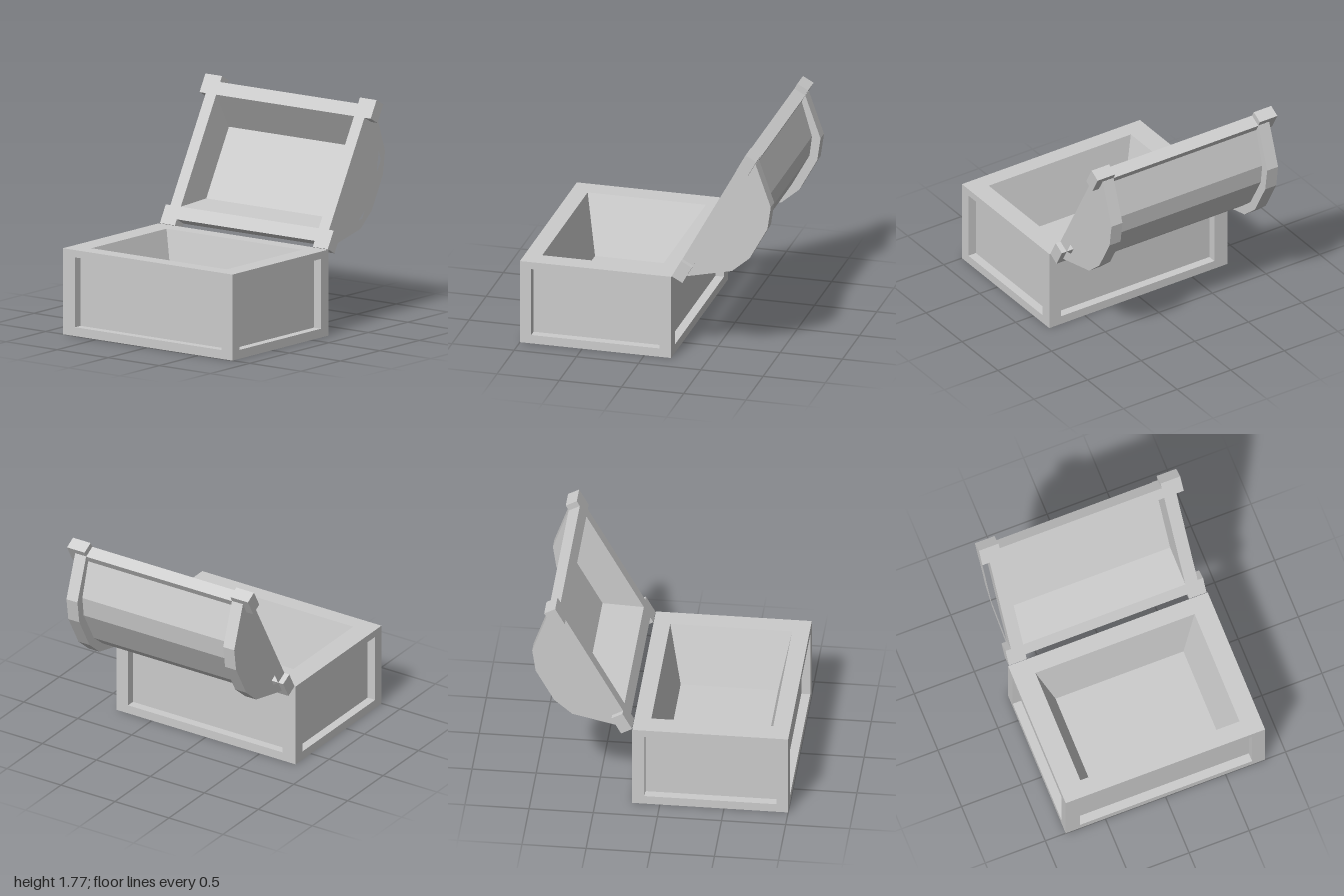
import * as THREE from 'three';

const material = new THREE.MeshStandardMaterial({ color: 0xcccccc, flatShading: true });
const vec = (pts) => pts.map(([x, y]) => new THREE.Vector2(x, y));
const rect = (x0, x1, y0, y1) => [[x0, y0], [x1, y0], [x1, y1], [x0, y1]];

function add(parent, name, geometry) {
  const mesh = new THREE.Mesh(geometry, material);
  mesh.name = name;
  parent.add(mesh);
  return mesh;
}

// Prism from an outline, running from z = from to z = to, with an optional hole
function prism(outline, from, to, hole) {
  const shape = new THREE.Shape(vec(outline));
  if (hole) shape.holes.push(new THREE.Path(vec(hole)));
  return new THREE.ExtrudeGeometry(shape, { depth: to - from, bevelEnabled: false }).translate(0, 0, from);
}

// Closed skin through rectangular rings [x0, x1, z0, z1, y]
function loft(rings) {
  const pos = rings.flatMap(([x0, x1, z0, z1, y]) => [x0, y, z1, x1, y, z1, x1, y, z0, x0, y, z0]);
  const index = [0, 2, 1, 0, 3, 2];
  for (let r = 0; r < rings.length - 1; r++) {
    for (let i = 0; i < 4; i++) {
      const a = r * 4 + i, b = r * 4 + (i + 1) % 4;
      index.push(a, b, b + 4, a, b + 4, a + 4);
    }
  }
  const e = (rings.length - 1) * 4;
  index.push(e, e + 1, e + 2, e, e + 2, e + 3);
  const indexed = new THREE.BufferGeometry();
  indexed.setAttribute('position', new THREE.Float32BufferAttribute(pos, 3));
  indexed.setIndex(index);
  const geometry = indexed.toNonIndexed();
  geometry.computeVertexNormals();
  return geometry;
}

function createBase() {
  const base = new THREE.Group();
  base.name = 'base';
  const W = 0.83, H = 0.68, back = -0.215, front = 1, d = 0.07;

  // Core with sunken panels outside and a tapered cavity inside
  const core = [-W + d, W - d, back + d, front - d];
  add(base, 'baseCore', loft([
    [...core, 0],
    [...core, H],
    [-0.655, 0.67, -0.085, 0.865, H],
    [-0.525, 0.54, 0.01, 0.77, 0.21],
  ]));

  // Raised frames round the four panels
  const longFrame = [rect(-W, W, 0, H), rect(-0.71, 0.722, 0.07, 0.622)];
  add(base, 'frontFrame', prism(longFrame[0], front - d, front, longFrame[1]));
  add(base, 'backFrame', prism(longFrame[0], back, back + d, longFrame[1]));
  const sideFrame = prism(rect(back + d, front - d, 0, H), 0, d, rect(-0.12, 0.91, 0.07, 0.622));
  sideFrame.rotateY(-Math.PI / 2);
  add(base, 'leftFrame', sideFrame).position.x = W;
  add(base, 'rightFrame', sideFrame).position.x = -W + d;
  return base;
}

// Lid in its own frame: x runs from hinge to free edge, y out of the rim, z across
function createLid() {
  const lid = new THREE.Group();
  lid.name = 'lid';
  const L = 1.238, inner = 0.675, outer = 0.777;
  const mirror = (half) => [...half, ...half.map(([u, v]) => [L - u, v]).reverse()];

  // Barrel shell with rim bars and a trapezoid cavity
  const shell = mirror([[0.05, 0], [0.05, 0.1], [0.11, 0.1], [0.32, 0.31], [0.47, 0.37]]);
  const cavity = mirror([[0.155, 0], [0.322, 0.276]]).reverse();
  add(lid, 'barrel', prism([...shell, ...cavity], -inner, inner));

  // End straps with sunken end panels, and corner blocks
  const strap = mirror([[0.05, 0], [0.05, 0.1], [0.295, 0.375], [0.47, 0.441]]);
  const panel = mirror([[0.155, 0.1], [0.375, 0.357]]);
  for (const [side, s] of [['left', -1], ['right', 1]]) {
    const span = (a, b) => (s > 0 ? [a, b] : [-b, -a]);
    add(lid, side + 'EndPanel', prism(strap, ...span(inner, 0.715)));
    add(lid, side + 'Strap', prism(strap, ...span(0.715, outer), panel));
    for (const [end, u, reach] of [['hinge', 0, 0.822], ['free', L - 0.155, 0.838]]) {
      add(lid, `${side} ${end} block`, prism(rect(u, u + 0.155, 0, 0.098), ...span(inner, reach)));
    }
  }

  // Swing open about the hinge edge
  const angle = THREE.MathUtils.degToRad(61.15);
  const c = Math.cos(angle), n = Math.sin(angle);
  lid.quaternion.setFromRotationMatrix(new THREE.Matrix4().makeBasis(
    new THREE.Vector3(0, n, -c), new THREE.Vector3(0, -c, -n), new THREE.Vector3(-1, 0, 0)));
  lid.position.set(0, 0.682, -0.217);
  return lid;
}

export function createModel() {
  const chest = new THREE.Group();
  chest.name = 'chest';
  chest.add(createBase(), createLid());
  return chest;
}
